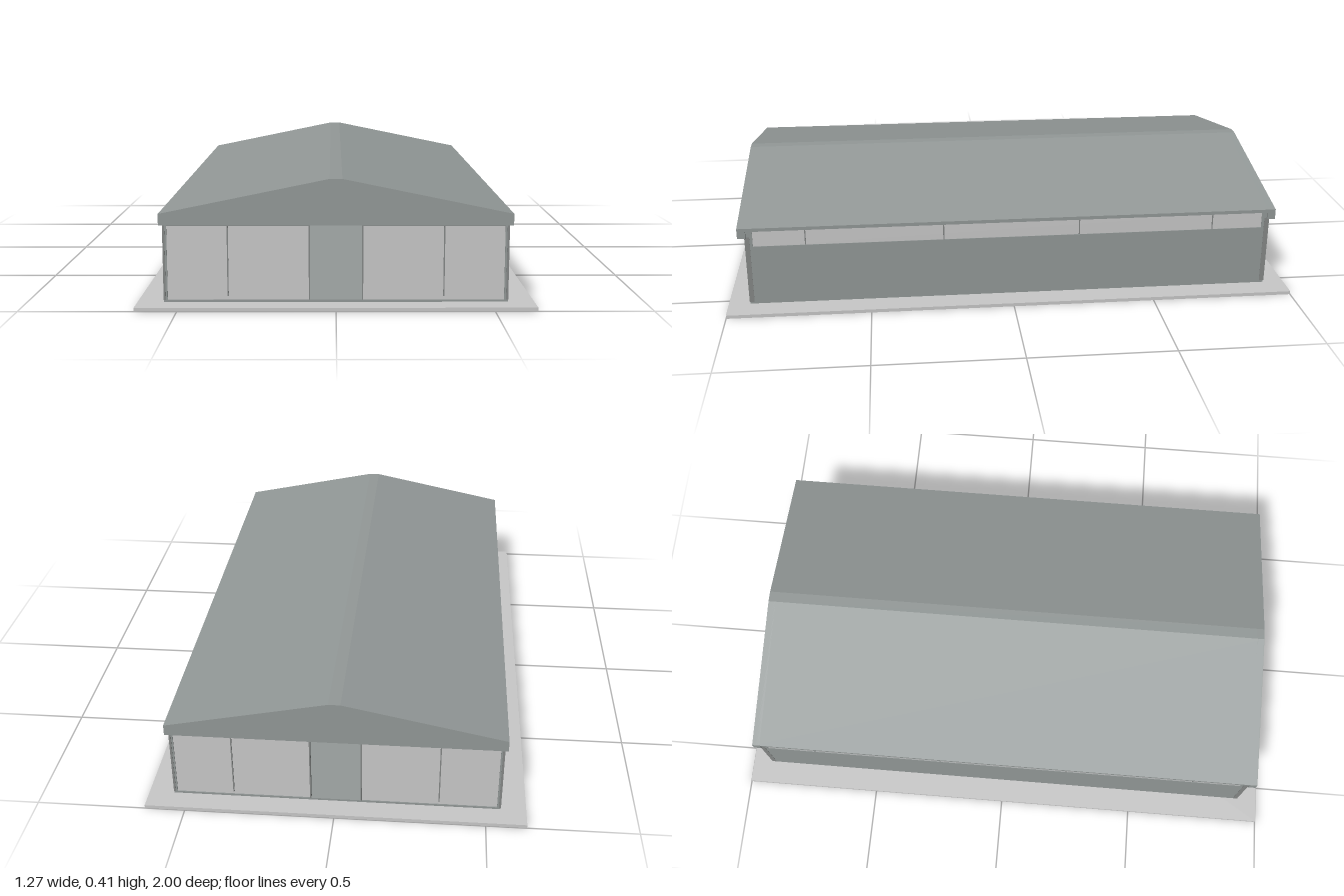
import * as THREE from 'three';

const material = (name, color) => {
  const m = new THREE.MeshStandardMaterial({ color });
  m.name = name;
  return m;
};

export function createModel() {
  const cladding = material('grey green cladding', 0x939998);
  const light = material('light grey', 0xc9c9c9);
  const frame = material('frame grey', 0x858887);
  const model = new THREE.Group();

  // Box given by its minimum and maximum on each axis
  const box = (name, mat, [x0, x1], [y0, y1], [z0, z1]) => {
    const mesh = new THREE.Mesh(new THREE.BoxGeometry(x1 - x0, y1 - y0, z1 - z0), mat);
    mesh.position.set((x0 + x1) / 2, (y0 + y1) / 2, (z0 + z1) / 2);
    mesh.name = name;
    model.add(mesh);
  };
  const span = (a, b, s) => (s > 0 ? [a, b] : [-b, -a]);

  // Outline in x and y, extruded along z
  const extrude = (name, points, z0, z1) => {
    const shape = new THREE.Shape(points.map(([x, y]) => new THREE.Vector2(x, y)));
    const geometry = new THREE.ExtrudeGeometry(shape, { depth: z1 - z0, bevelEnabled: false });
    const mesh = new THREE.Mesh(geometry, cladding);
    mesh.position.z = z0;
    mesh.name = name;
    model.add(mesh);
  };

  // Ground slab and raised floor
  box('slab', light, [-0.635, 0.635], [0, 0.012], [-1, 1]);
  box('floor', cladding, [-0.55, 0.55], [0.012, 0.019], [-0.925, 0.925]);

  // Pitched roof shell with a narrow flat ridge, and solid gables
  const top = [[0.56, 0.302], [0.02, 0.413], [-0.02, 0.413], [-0.56, 0.302]];
  extrude('roof', [...top, [-0.56, 0.29], [-0.02, 0.4], [0.02, 0.4], [0.56, 0.29]], -0.944, 0.948);
  extrude('frontGable', [...top, [-0.56, 0.265], [0.56, 0.265]], 0.922, 0.95);
  extrude('backGable', [...top, [-0.56, 0.265], [0.56, 0.265]], -0.945, -0.918);

  for (const s of [1, -1]) {
    const side = s > 0 ? 'left' : 'right';
    // Long walls with a high window band
    box(side + 'Wall', cladding, span(0.538, 0.55, s), [0.019, 0.23], [-0.925, 0.925]);
    box(side + 'WindowBand', light, span(0.54, 0.548, s), [0.23, 0.292], [-0.9, 0.9]);
    for (const z of [-0.72, -0.24, 0.24, 0.72])
      box(side + 'WindowMullion', frame, span(0.538, 0.549, s), [0.23, 0.292], [z - 0.002, z + 0.002]);

    for (const e of [1, -1]) {
      const end = e > 0 ? 'front' : 'back';
      // Corner posts
      box(end + 'CornerPost', cladding, span(0.538, 0.55, s), [0.23, 0.3], span(0.9, 0.925, e));
      box(end + 'CornerFrame', frame, span(0.544, 0.551, s), [0.019, 0.266], span(0.91, 0.927, e));
      // Glazed end panels either side of the open doorway
      box(end + 'Panel', light, span(0.085, 0.544, s), [0.019, 0.266], span(0.912, 0.922, e));
      box(end + 'TopRail', frame, span(0.085, 0.544, s), [0.258, 0.266], span(0.912, 0.923, e));
      // Panel joints
      const proud = e > 0 ? 0.923 : 0.926;
      box(end + 'Mullion', frame, span(0.343, 0.347, s), [0.03, 0.26], span(0.912, proud, e));
      box(end + 'DoorJamb', frame, span(0.083, 0.087, s), [0.019, 0.266], span(0.912, proud, e));
    }
  }
  return model;
}
